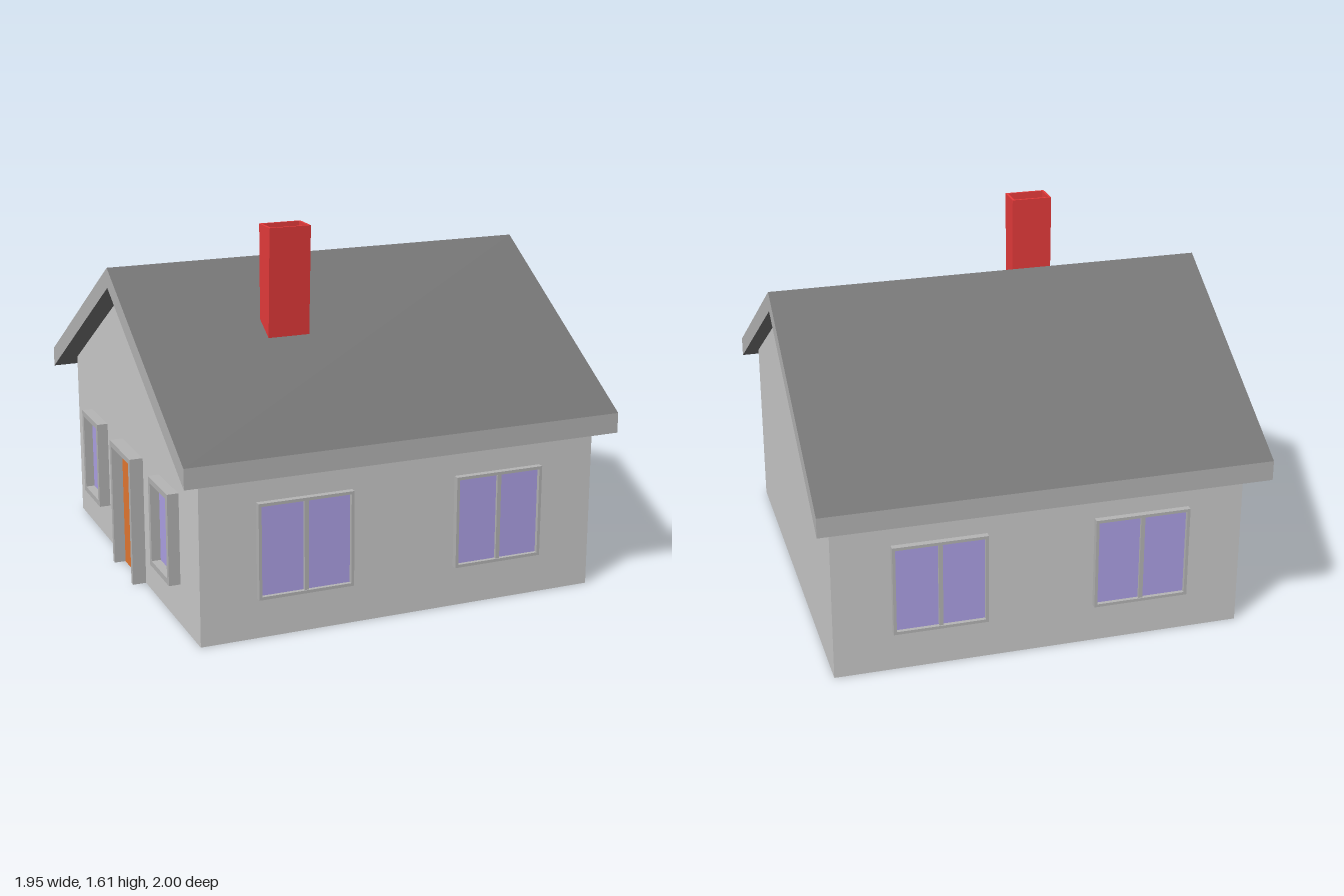
import * as THREE from 'three';

const mat = (color, side = THREE.FrontSide) => new THREE.MeshStandardMaterial({ color, side, flatShading: true });
const wallMat = mat(0xcccccc, THREE.DoubleSide);
const trimMat = mat(0xb5b5b5);
const roofMat = mat(0x757575);
const glassMat = mat(0xaea2e7, THREE.DoubleSide);
const doorMat = mat(0xe67932, THREE.DoubleSide);
const brickMat = mat(0xe73b3b, THREE.DoubleSide);

function add(parent, name, geometry, material, x = 0, y = 0, z = 0) {
  const mesh = new THREE.Mesh(geometry, material);
  mesh.name = name;
  mesh.position.set(x, y, z);
  parent.add(mesh);
  return mesh;
}

const polygon = (Type, pts) => new Type(pts.map(([x, y]) => new THREE.Vector2(x, y)));
const rect = (Type, x0, y0, x1, y1) => polygon(Type, [[x0, y0], [x1, y0], [x1, y1], [x0, y1]]);

// Framed opening in a wall facing local +z; a door has no sill
function addOpening(wall, o) {
  const { x, y0, y1, w, depth, t, door, split } = o;
  const group = new THREE.Group();
  group.name = door ? 'door' : 'window';
  const h = w / 2, bottom = door ? y0 : y0 + t;
  let outline;
  if (door) {
    outline = polygon(THREE.Shape, [[-h, y0], [-h + t, y0], [-h + t, y1 - t], [h - t, y1 - t],
      [h - t, y0], [h, y0], [h, y1], [-h, y1]]);
  } else {
    outline = rect(THREE.Shape, -h, y0, h, y1);
    outline.holes.push(rect(THREE.Path, -h + t, y0 + t, h - t, y1 - t));
  }
  add(group, door ? 'doorFrame' : 'windowFrame',
    new THREE.ExtrudeGeometry(outline, { depth, bevelEnabled: false }), trimMat);
  const paneH = y1 - t - bottom;
  add(group, door ? 'doorPanel' : 'windowGlass', new THREE.PlaneGeometry(w - 2 * t, paneH),
    door ? doorMat : glassMat, 0, bottom + paneH / 2, 0.01);
  if (split) {
    add(group, 'windowMullion', new THREE.BoxGeometry(0.018, paneH, 0.02), trimMat, 0, bottom + paneH / 2, 0.012);
  }
  group.position.x = x;
  wall.add(group);
}

// Thin wall with the openings cut out of it
function addWall(parent, name, outline, angle, x, z, openings = []) {
  const wall = new THREE.Group();
  wall.name = name;
  const shape = polygon(THREE.Shape, outline);
  for (const o of openings) {
    const h = o.w / 2 - o.t;
    shape.holes.push(rect(THREE.Path, o.x - h, o.door ? 0.004 : o.y0 + o.t, o.x + h, o.y1 - o.t));
    addOpening(wall, o);
  }
  add(wall, name + 'Surface', new THREE.ShapeGeometry(shape), wallMat);
  wall.rotation.y = angle;
  wall.position.set(x, 0, z);
  parent.add(wall);
}

export function createModel() {
  const house = new THREE.Group();
  house.name = 'house';

  // Walls
  const midX = 0.0125, halfX = 0.8975, halfZ = 0.9, eave = 0.779, peak = 1.31;
  const longWall = [[-halfX, 0], [halfX, 0], [halfX, eave], [-halfX, eave]];
  const gable = [[-halfZ, 0], [halfZ, 0], [halfZ, eave], [0, peak], [-halfZ, eave]];
  const wide = (x, w, y0, y1) => ({ x, w, y0, y1, depth: 0.027, t: 0.013, split: true });
  const narrow = (x) => ({ x, w: 0.26, y0: 0.18, y1: 0.58, depth: 0.05, t: 0.025 });
  const door = { x: 0, w: 0.31, y0: 0, y1: 0.58, depth: 0.06, t: 0.025, door: true };

  addWall(house, 'frontWall', longWall, 0, midX, halfZ,
    [wide(-0.4425, 0.42, 0.175, 0.59), wide(0.44, 0.405, 0.18, 0.585)]);
  addWall(house, 'backWall', longWall, Math.PI, midX, -halfZ,
    [wide(-0.44, 0.41, 0.18, 0.587), wide(0.4425, 0.42, 0.175, 0.59)]);
  addWall(house, 'rightGable', gable, -Math.PI / 2, midX - halfX, 0, [narrow(-0.525), door, narrow(0.52)]);
  addWall(house, 'leftGable', gable, Math.PI / 2, midX + halfX, 0);

  // Roof slabs: boxes sheared down towards the eaves
  for (const side of [1, -1]) {
    const geo = new THREE.BoxGeometry(1.95, 0.088, 1).translate(0, 1.356, side * 0.5);
    const p = geo.attributes.position;
    for (let i = 0; i < p.count; i++) p.setY(i, p.getY(i) - 0.595 * Math.abs(p.getZ(i)));
    geo.computeVertexNormals();
    add(house, side > 0 ? 'frontRoof' : 'backRoof', geo,
      [trimMat, trimMat, roofMat, roofMat, trimMat, trimMat]);
  }

  // Chimney: hollow shaft whose front leans out and whose foot follows the roof
  const chimney = new THREE.Group();
  chimney.name = 'chimney';
  const x0 = -0.405, x1 = -0.22, z0 = 0.34, z1 = 0.46, top = 1.61, t = 0.01;
  const ring = rect(THREE.Shape, x0, -z1, x1, -z0);
  ring.holes.push(rect(THREE.Path, x0 + t, -z1 + t, x1 - t, -z0 - t));
  const shaft = new THREE.ExtrudeGeometry(ring, { depth: 1, bevelEnabled: false }).rotateX(-Math.PI / 2);
  const p = shaft.attributes.position;
  for (let i = 0; i < p.count; i++) {
    if (p.getY(i) > 0.5) { p.setY(i, top); continue; }
    if (p.getZ(i) > 0.4) p.setZ(i, p.getZ(i) - 0.02);
    p.setY(i, 1.39 - 0.595 * p.getZ(i));
  }
  shaft.computeVertexNormals();
  add(chimney, 'chimneyShaft', shaft, brickMat);
  add(chimney, 'chimneyFloor', new THREE.PlaneGeometry(x1 - x0 - t, z1 - z0 - t).rotateX(-Math.PI / 2),
    brickMat, (x0 + x1) / 2, 1.55, (z0 + z1) / 2 - 0.002);
  house.add(chimney);

  return house;
}
